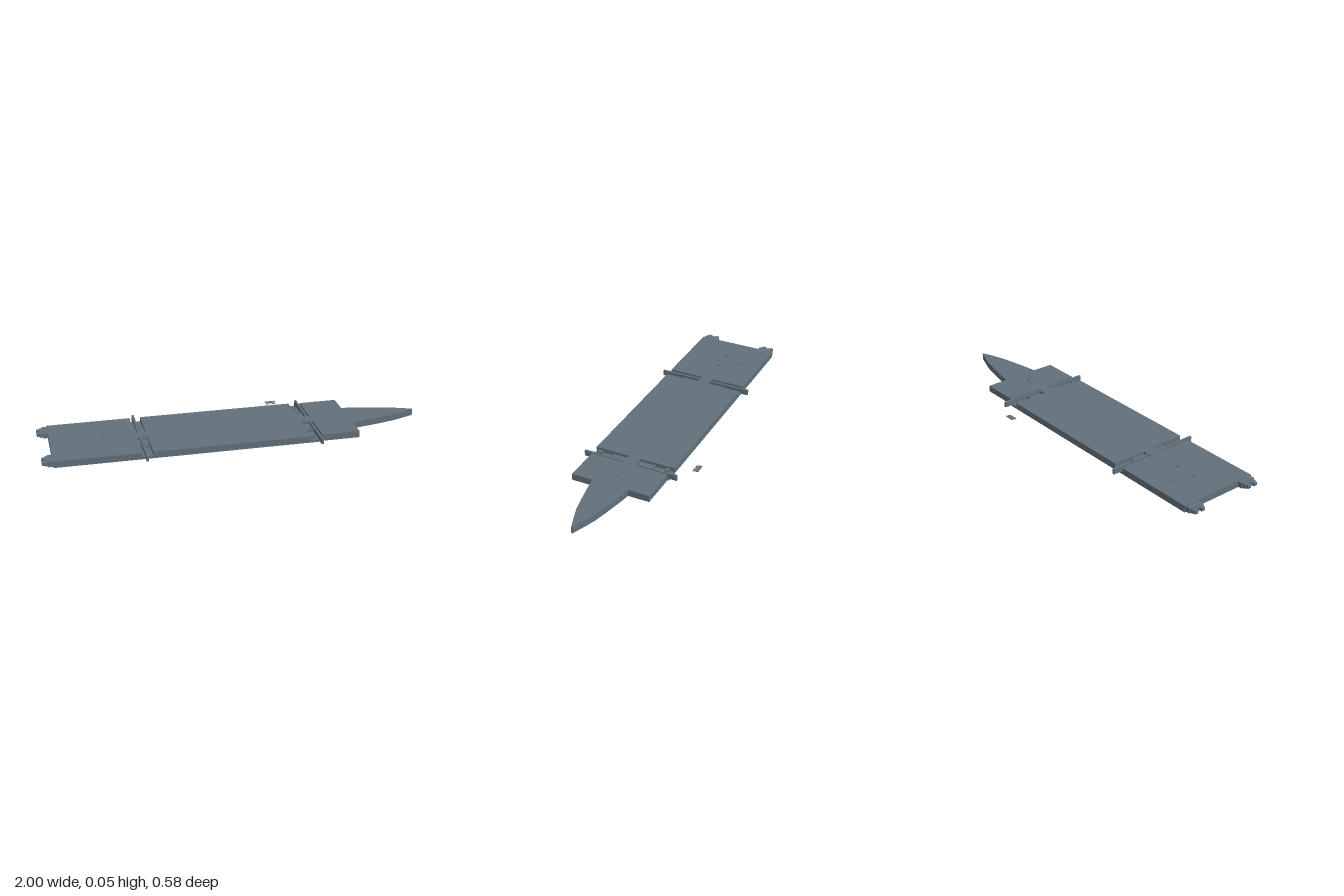
import * as THREE from 'three';

const AXIS = 0.032; // z of the hull's line of symmetry
const DECK = 0.035;
const FLOOR = 0.012;

export function createModel() {
  const model = new THREE.Group();
  const hullGrey = new THREE.MeshStandardMaterial({ color: 0x62707a, flatShading: true });
  hullGrey.name = 'hull grey';

  const add = (name, geometry, x = 0, y = 0, z = 0) => {
    const mesh = new THREE.Mesh(geometry, hullGrey);
    mesh.name = name;
    mesh.position.set(x, y, z);
    model.add(mesh);
    return mesh;
  };

  // Box given by its limits; z is measured from the hull axis
  const box = (name, x0, x1, y0, y1, z0, z1) =>
    add(name, new THREE.BoxGeometry(x1 - x0, y1 - y0, Math.abs(z1 - z0)),
      (x0 + x1) / 2, (y0 + y1) / 2, AXIS + (z0 + z1) / 2);

  // Slab mirrored about the axis from [x, half width] points
  const slab = (name, half, y0, y1) => {
    const points = [
      ...half.map(([x, w]) => new THREE.Vector2(x, -AXIS - w)),
      ...half.slice().reverse().map(([x, w]) => new THREE.Vector2(x, -AXIS + w)),
    ];
    const geometry = new THREE.ExtrudeGeometry(new THREE.Shape(points), { depth: y1 - y0, bevelEnabled: false });
    geometry.rotateX(-Math.PI / 2);
    add(name, geometry, 0, y0, 0);
  };

  // Hull: solid lower slab, upper slab cut by four transverse slots
  const bow = [[0.63, 0.212], [0.63, 0.098], [0.7, 0.086], [0.78, 0.07], [0.87, 0.05],
    [0.93, 0.029], [0.98, 0.01], [1, 0.003]];
  slab('lowerHull', [[-0.945, 0.219], [0.43, 0.219], [0.43, 0.212], ...bow], 0, FLOOR);
  slab('upperHull', [
    [-0.945, 0.219], [-0.507, 0.219], [-0.507, 0.031], [-0.45, 0.031], [-0.45, 0.219],
    [0.368, 0.219], [0.368, 0.031], [0.43, 0.031], [0.43, 0.212], ...bow,
  ], FLOOR, DECK);

  for (const s of [-1, 1]) {
    // Fins standing in the slots and reaching past the sides
    for (const x of [-0.485, 0.417]) {
      box('sideFin', x - 0.006, x + 0.006, 0.005, 0.034, s * 0.031, s * 0.258);
    }
    // Raised inner half of the slot floors
    for (const [x0, x1] of [[-0.507, -0.45], [0.368, 0.43]]) {
      box('slotStep', x0, x1, FLOOR, 0.02, s * 0.031, s * 0.113);
      box('slotRib', x0, x1, FLOOR, 0.026, s * 0.111, s * 0.116);
    }
    box('slotBlock', 0.372, 0.395, FLOOR, 0.028, s * 0.175, s * 0.2);

    // Stern engines with stepped housings and paired nozzles
    box('engineHousing', -0.97, -0.945, 0.004, 0.032, s * 0.13, s * 0.213);
    box('engineBlock', -0.985, -0.97, 0.007, 0.029, s * 0.136, s * 0.207);
    for (const w of [0.153, 0.194]) {
      box('engineNozzle', -1, -0.985, 0.01, 0.026, s * (w - 0.01), s * (w + 0.01));
    }

    // Aft deck plates
    box('deckPlate', -0.756, -0.734, DECK, 0.037, s * 0.106, s * 0.126);
  }

  // Aft deck fittings and midship hatch
  for (const x of [-0.785, -0.665]) box('deckFitting', x - 0.005, x + 0.005, DECK, 0.041, -0.009, 0.009);
  box('midshipHatch', -0.106, -0.094, DECK, 0.037, -0.006, 0.006);

  // Fore deck: mast on its base, and a dome
  box('mastBase', 0.538, 0.552, DECK, 0.04, -0.007, 0.007);
  add('mast', new THREE.CylinderGeometry(0.001, 0.001, 0.02, 6), 0.545, 0.045, AXIS);
  box('foreFitting', 0.5, 0.512, DECK, 0.038, -0.02, -0.01);
  add('domeStem', new THREE.CylinderGeometry(0.004, 0.004, 0.004, 10), 0.59, 0.036, 0.065);
  const dome = add('dome', new THREE.SphereGeometry(0.008, 12, 8), 0.59, 0.039, 0.065);
  dome.scale.y = 0.5;

  // Detached plates beside the hull
  add('loosePlate', new THREE.BoxGeometry(0.055, 0.002, 0.021), 0.29, 0.012, -0.2825);
  add('looseStrip', new THREE.BoxGeometry(0.055, 0.002, 0.006), 0.29, 0.009, -0.265);

  return model;
}
